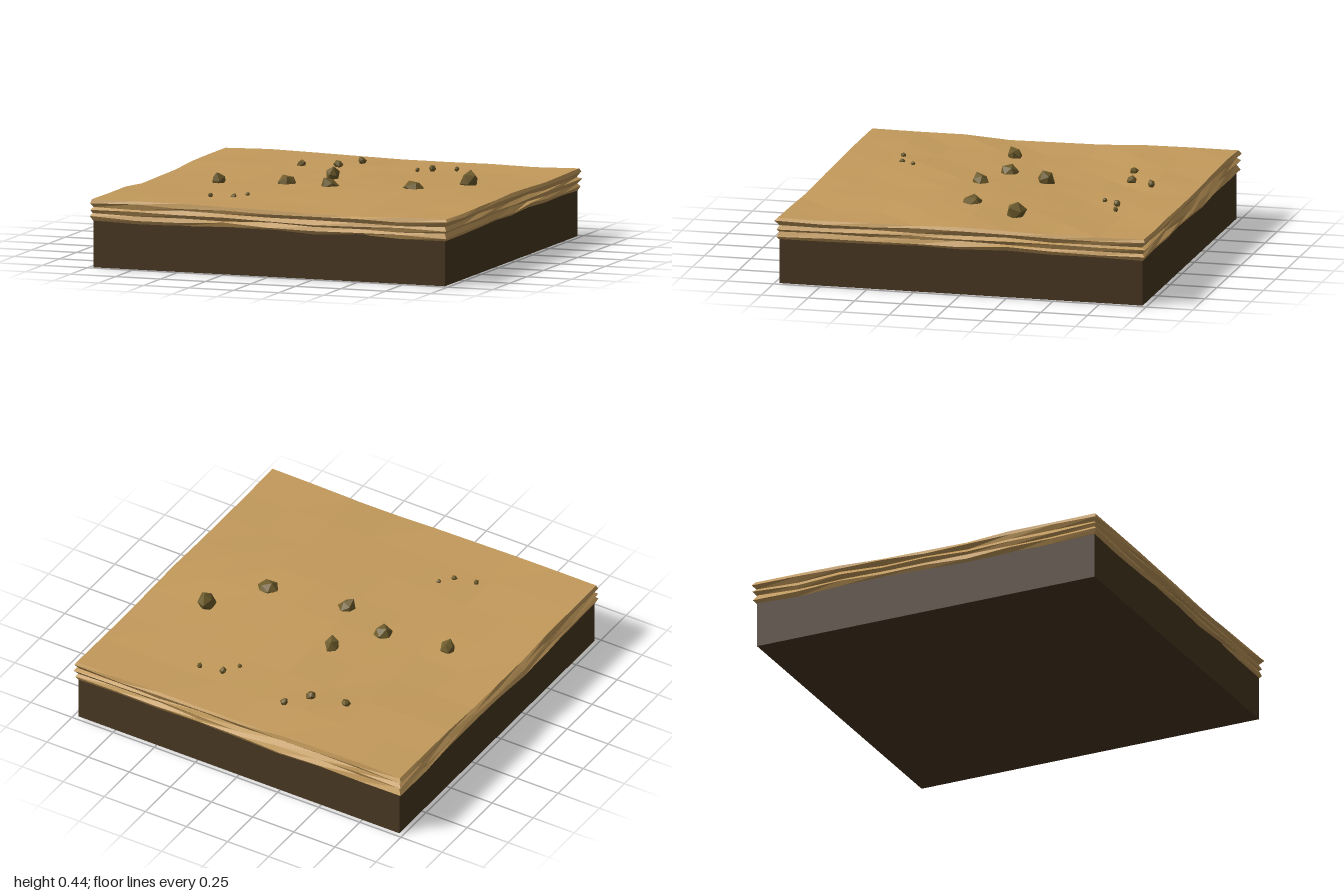
import * as THREE from 'three';

const mat = (color) => new THREE.MeshStandardMaterial({ color, flatShading: true });

// Repeatable value in -1..1 for a point, so coincident vertices move together
function hash(x, y, z) {
  const s = Math.sin(x * 127.1 + y * 311.7 + z * 74.7) * 43758.5453;
  return (s - Math.floor(s)) * 2 - 1;
}

// Height of the gently rolling sand
function ground(x, z) {
  return 0.355 + 0.008 * Math.sin(x * 3.1 + 0.6) * Math.cos(z * 2.7 - 0.4)
    + 0.006 * Math.sin(z * 4.3 + x * 1.7) + 0.005 * hash(Math.round(x * 10), 1, Math.round(z * 10));
}

// Sand slab: gridded box with a rolling top and ragged strata on its sides
function sandLayer(material) {
  const size = 1.96, height = 0.12, rows = 6, cells = 8;
  const geo = new THREE.BoxGeometry(size, height, size, cells, rows, cells).toNonIndexed();
  const p = geo.attributes.position;
  for (let i = 0; i < p.count; i++) {
    const x = p.getX(i), z = p.getZ(i);
    const row = Math.round((p.getY(i) / height + 0.5) * rows);
    const col = Math.round(x * 10), line = Math.round(z * 10);
    const bottom = 0.242 + 0.008 * hash(col, 3, line);
    const t = row / rows;
    let y = bottom + (ground(x, z) - bottom) * t;
    if (row > 0 && row < rows) y += 0.007 * hash(col, row + 5, line);
    // Alternate rows stick out, giving the stacked ledges
    const out = row === rows ? 0.002 : (row % 2 ? 0.011 : -0.003) + 0.006 * hash(line, row, col);
    const edge = size / 2 - 0.001;
    const nx = Math.abs(x) > edge ? x + Math.sign(x) * out : x;
    const nz = Math.abs(z) > edge ? z + Math.sign(z) * out : z;
    p.setXYZ(i, nx, y, nz);
  }
  geo.computeVertexNormals();
  const mesh = new THREE.Mesh(geo, material);
  mesh.name = 'sandLayer';
  return mesh;
}

// Chipped stone: a jittered icosahedron
function rock(x, z, top, rx, ry, rz, seed, material) {
  const geo = new THREE.IcosahedronGeometry(1, 0);
  const p = geo.attributes.position;
  for (let i = 0; i < p.count; i++) {
    const [a, b, c] = [p.getX(i), p.getY(i), p.getZ(i)].map((v) => Math.round(v * 100));
    const k = 1 + 0.18 * hash(a + seed, b, c);
    p.setXYZ(i, p.getX(i) * k, p.getY(i) * k, p.getZ(i) * k);
  }
  geo.rotateY(seed * 1.3);
  geo.rotateX(0.3 * Math.sin(seed));
  geo.scale(rx, ry, rz);
  geo.computeBoundingBox();
  geo.translate(x, top - geo.boundingBox.max.y, z);
  geo.computeVertexNormals();
  return new THREE.Mesh(geo, material);
}

export function createModel() {
  const model = new THREE.Group();
  model.name = 'desertTile';

  // Dark earth block
  const base = new THREE.Mesh(new THREE.BoxGeometry(1.95, 0.25, 1.95), mat(0x4a3822));
  base.name = 'earthBase';
  base.position.y = 0.125;
  model.add(base);

  model.add(sandLayer(mat(0xc39a5b)));

  // Rocks: x, z, top height, half sizes in x, y and z
  const rocks = [
    [0.66, -0.21, 0.435, 0.045, 0.06, 0.055],
    [0.46, 0.07, 0.405, 0.06, 0.05, 0.058],
    [0.02, 0.145, 0.412, 0.05, 0.05, 0.052],
    [-0.085, -0.18, 0.422, 0.038, 0.05, 0.045],
    [-0.245, 0.055, 0.397, 0.05, 0.045, 0.048],
    [-0.605, 0.12, 0.405, 0.042, 0.045, 0.043],
  ];
  const pebbles = [
    [-0.405, -0.57, 0.387, 0.024], [-0.215, -0.61, 0.388, 0.027], [-0.13, -0.735, 0.394, 0.022],
    [0.235, -0.58, 0.376, 0.013], [0.29, -0.66, 0.381, 0.018], [0.415, -0.685, 0.378, 0.015],
    [-0.44, 0.675, 0.378, 0.014], [-0.32, 0.65, 0.379, 0.016], [-0.27, 0.58, 0.377, 0.013],
  ];
  const stone = mat(0x6e5c2c);
  const addGroup = (name, list) => {
    const group = new THREE.Group();
    group.name = name;
    list.forEach(([x, z, top, rx, ry = rx, rz = rx], i) => {
      const mesh = rock(x, z, top, rx, ry, rz, i + 1, stone);
      mesh.name = `${name}${i + 1}`;
      group.add(mesh);
    });
    model.add(group);
  };
  addGroup('rock', rocks);
  addGroup('pebble', pebbles);
  return model;
}
